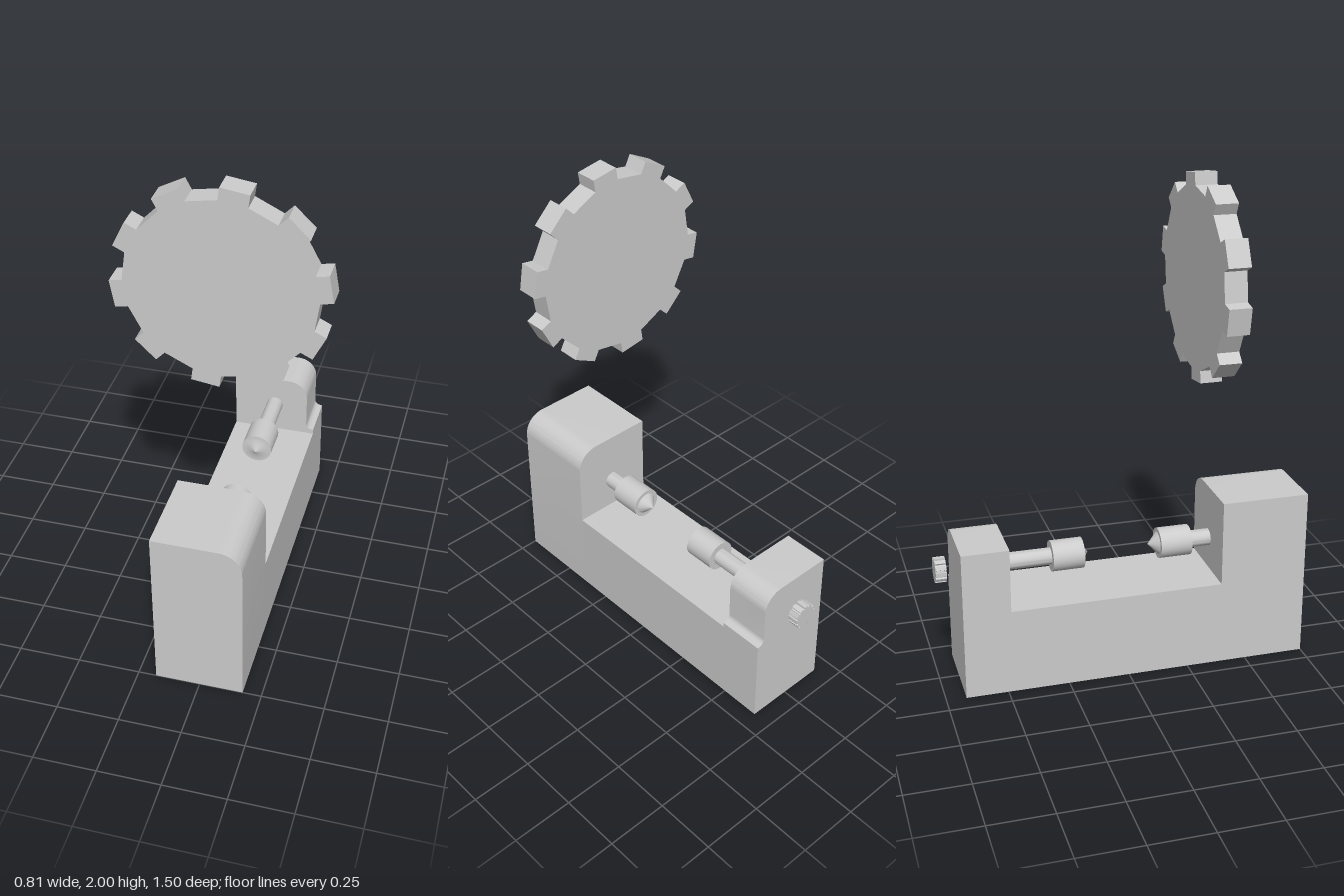
import * as THREE from 'three';
import { toCreasedNormals } from 'three/addons/utils/BufferGeometryUtils.js';

const material = new THREE.MeshStandardMaterial({ color: 0xcccccc });
const X0 = -0.178, X1 = 0.175, AXIS_Y = 0.488;

function addMesh(group, name, geometry) {
  const mesh = new THREE.Mesh(toCreasedNormals(geometry, 0.6), material);
  mesh.name = name;
  group.add(mesh);
  return mesh;
}

// Extrude an x-y outline between two z positions
function extrudeZ(shape, z0, z1) {
  const geometry = new THREE.ExtrudeGeometry(shape, { depth: z1 - z0, bevelEnabled: false, curveSegments: 12 });
  return geometry.translate(0, 0, z0);
}

// Turned part along z, from [radius, z] pairs in ascending z
function turned(profile) {
  const points = profile.map(([r, z]) => new THREE.Vector2(r, z));
  return new THREE.LatheGeometry(points, 32).rotateX(Math.PI / 2).translate(0, AXIS_Y, 0);
}

// Wheel outline with straight-sided teeth
function toothedShape(teeth, root, tip, halfWidth, phase) {
  const points = [];
  for (let i = 0; i < teeth; i++) {
    const a = phase + (i * 2 * Math.PI) / teeth;
    for (const [r, s] of [[root, -1], [tip, -1], [tip, 1], [root, 1]]) {
      points.push(new THREE.Vector2(
        r * Math.cos(a) - s * halfWidth * Math.sin(a),
        r * Math.sin(a) + s * halfWidth * Math.cos(a)));
    }
  }
  return new THREE.Shape(points);
}

export function createModel() {
  const model = new THREE.Group();
  model.name = 'indexingFixture';

  // Bed
  const bed = new THREE.BoxGeometry(X1 - X0, 0.355, 1.06);
  addMesh(model, 'bed', bed.translate((X0 + X1) / 2, 0.1775, -0.14));

  // Headstock with one rounded upper edge
  const head = new THREE.Shape();
  head.moveTo(X0, 0);
  head.lineTo(X1, 0);
  head.lineTo(X1, 0.62);
  head.absarc(X1 - 0.09, 0.62, 0.09, 0, Math.PI / 2, false);
  head.lineTo(X0, 0.71);
  addMesh(model, 'headstock', extrudeZ(head, 0.39, 0.75));

  // Tailstock with a rounded shoulder and a small foot
  const tail = new THREE.Shape();
  tail.moveTo(X0, 0.355);
  tail.lineTo(X1, 0.355);
  tail.lineTo(X1, 0.375);
  tail.quadraticCurveTo(0.143, 0.378, 0.143, 0.405);
  tail.lineTo(0.143, 0.54);
  tail.absarc(0.063, 0.54, 0.08, 0, Math.PI / 2, false);
  tail.lineTo(X0, 0.62);
  addMesh(model, 'tailstock', extrudeZ(tail, -0.67, -0.48));

  // Spindles with chucks and pointed centres
  addMesh(model, 'headSpindle', turned([
    [0, 0.127], [0.046, 0.17], [0.063, 0.17], [0.063, 0.302], [0.035, 0.302], [0.035, 0.4]]));
  addMesh(model, 'tailSpindle', turned([
    [0.035, -0.49], [0.035, -0.28], [0.063, -0.28], [0.063, -0.15], [0.036, -0.15], [0, -0.126]]));

  // Ribbed knob behind the tailstock
  const knob = addMesh(model, 'adjustmentKnob', extrudeZ(toothedShape(12, 0.043, 0.051, 0.008, 0), -0.75, -0.706));
  knob.position.y = AXIS_Y;

  // Toothed wheel held above the fixture
  const wheel = addMesh(model, 'toothedWheel', extrudeZ(toothedShape(10, 0.354, 0.403, 0.054, 0.17), 0.303, 0.392));
  wheel.position.y = 1.594;

  return model;
}
